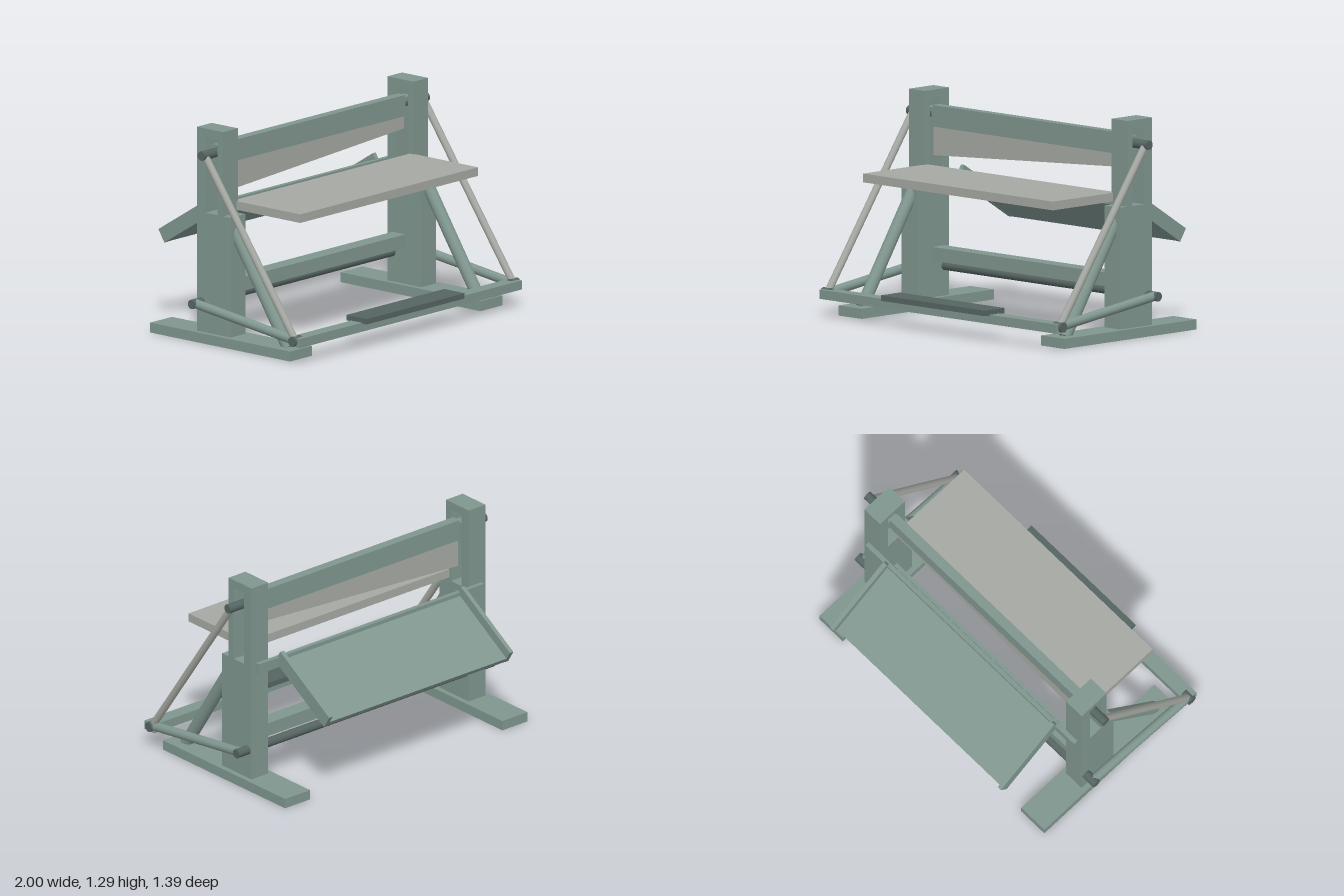
import * as THREE from 'three';

export function createModel() {
  const model = new THREE.Group();
  model.name = 'treadleShear';
  const material = (name, color) => {
    const m = new THREE.MeshStandardMaterial({ color });
    m.name = name;
    return m;
  };
  const green = material('grey green paint', 0x80968f);
  const steel = material('light steel', 0xa5a8a2);
  const dark = material('dark steel', 0x566562);

  const add = (name, geometry, mat, parent = model) => {
    const mesh = new THREE.Mesh(geometry, mat);
    mesh.name = name;
    parent.add(mesh);
    return mesh;
  };
  // Box from its minimum and maximum corners
  const box = (name, mat, x0, x1, y0, y1, z0, z1, parent) => {
    const g = new THREE.BoxGeometry(x1 - x0, y1 - y0, z1 - z0);
    g.translate((x0 + x1) / 2, (y0 + y1) / 2, (z0 + z1) / 2);
    return add(name, g, mat, parent);
  };
  // Round bar between two points
  const bar = (name, mat, a, b, radius) => {
    const p = new THREE.Vector3(...a), q = new THREE.Vector3(...b);
    const dir = q.clone().sub(p);
    const mesh = add(name, new THREE.CylinderGeometry(radius, radius, dir.length(), 20), mat);
    mesh.position.copy(p).add(q).multiplyScalar(0.5);
    mesh.quaternion.setFromUnitVectors(new THREE.Vector3(0, 1, 0), dir.normalize());
    return mesh;
  };
  // Box mirrored to the side s
  const sideBox = (name, mat, s, x0, x1, ...rest) =>
    box(name, mat, Math.min(s * x0, s * x1), Math.max(s * x0, s * x1), ...rest);

  // Column outline in (-z, y), with the guide slot as a hole
  const column = new THREE.Shape([
    [-0.05, 0.06], [0.215, 0.06], [0.215, 1.295], [0.01, 1.295], [0.01, 0.785], [-0.05, 0.785],
  ].map(p => new THREE.Vector2(...p)));
  column.holes.push(new THREE.Path([
    [0.055, 0.785], [0.055, 1.245], [0.148, 1.245], [0.148, 0.785],
  ].map(p => new THREE.Vector2(...p))));

  for (const s of [1, -1]) {
    const side = s > 0 ? 'left' : 'right';
    sideBox(side + 'Foot', green, s, 0.748, 0.942, 0, 0.06, -0.555, 0.545);
    const g = new THREE.ExtrudeGeometry(column, { depth: 0.13, bevelEnabled: false });
    g.rotateY(Math.PI / 2);
    g.translate(s * 0.845 - 0.065, 0, 0);
    add(side + 'Column', g, green);
    bar(side + 'Brace', green, [s * 0.845, 0.05, 0.445], [s * 0.845, 0.735, 0], 0.038);
    sideBox(side + 'SlideBlock', green, s, 0.78, 0.85, 1.085, 1.19, -0.147, -0.08);
    bar(side + 'UpperPin', dark, [s * 0.79, 1.15, -0.103], [s, 1.15, -0.103], 0.028);
    bar(side + 'PullRod', steel, [s * 0.967, 0.14, 0.61], [s * 0.967, 1.15, -0.103], 0.022);
    bar(side + 'TreadleArm', green, [s * 0.965, 0.14, 0.61], [s * 0.965, 0.24, -0.18], 0.028);
    bar(side + 'TreadlePin', dark, [s * 0.93, 0.14, 0.61], [s, 0.14, 0.61], 0.03);
  }

  // Cross members and pivot shaft
  box('lowerRail', green, -0.78, 0.78, 0.278, 0.36, -0.175, -0.075);
  box('rearRail', green, -0.875, 0.875, 0.74, 0.803, -0.243, -0.215);
  bar('pivotShaft', dark, [-1, 0.24, -0.18], [1, 0.24, -0.18], 0.028);

  // Work table, moving beam and slanted blade
  box('table', steel, -0.79, 0.79, 0.803, 0.855, -0.04, 0.49);
  box('bladeBeam', green, -0.78, 0.78, 1.077, 1.205, -0.133, -0.075);
  const blade = new THREE.Shape([
    [-0.78, 0.905], [0.78, 1.0], [0.78, 1.077], [-0.78, 1.077],
  ].map(p => new THREE.Vector2(...p)));
  const bladeGeometry = new THREE.ExtrudeGeometry(blade, { depth: 0.034, bevelEnabled: false });
  bladeGeometry.translate(0, 0, -0.12);
  add('blade', bladeGeometry, steel);

  // Foot treadle
  box('treadleBar', green, -0.985, 0.985, 0.107, 0.162, 0.575, 0.66);
  box('footPedal', dark, -0.435, 0.435, 0.157, 0.19, 0.538, 0.697);

  // Sloping rear tray, built flat and tilted about its top front edge
  const tray = new THREE.Group();
  tray.name = 'rearTray';
  box('trayPlate', green, -0.7, 0.7, -0.087, -0.055, -0.519, 0, tray);
  for (const s of [1, -1])
    box('traySide', green, s * 0.7025 - 0.0135, s * 0.7025 + 0.0135, -0.088, 0, -0.52, 0, tray);
  tray.position.set(0, 0.84, -0.25);
  tray.rotation.x = -Math.atan2(0.275, 0.44);
  model.add(tray);

  return model;
}
